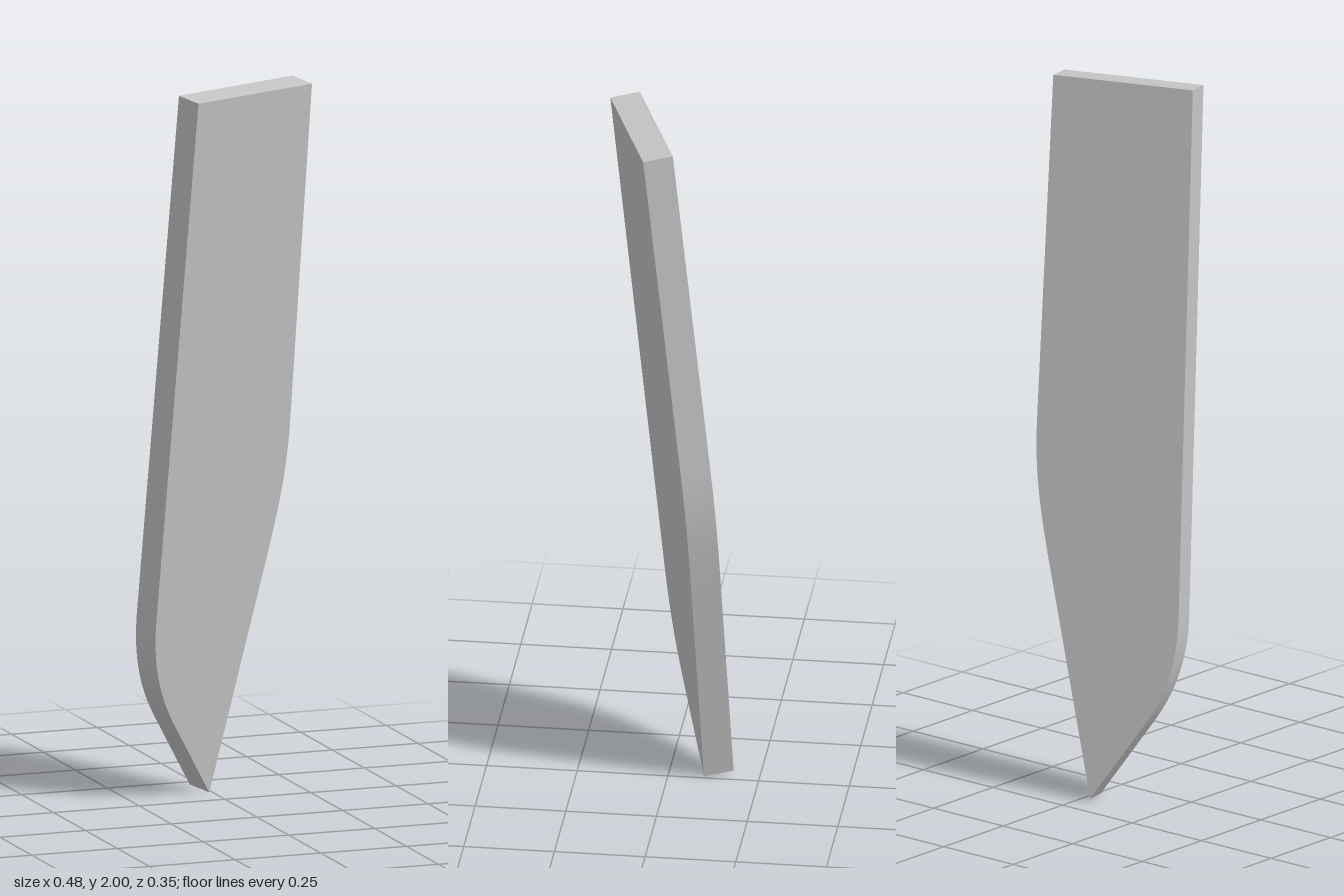
import * as THREE from 'three';
import { toCreasedNormals } from 'three/addons/utils/BufferGeometryUtils.js';

export function createModel() {
  const group = new THREE.Group();
  group.name = 'bladePlate';
  const steel = new THREE.MeshStandardMaterial({ color: 0xc5c5c5 });
  steel.name = 'steelGrey';

  // Outline of the front face: square top, rounded shoulder and belly, sharp tip
  const outline = new THREE.Shape();
  outline.moveTo(-0.143, 1.992);
  outline.lineTo(-0.213, 0.52);
  outline.bezierCurveTo(-0.218, 0.38, -0.185, 0.29, -0.131, 0.203);
  outline.lineTo(-0.009, 0.001);
  outline.lineTo(0.118, 0.51);
  outline.bezierCurveTo(0.178, 0.75, 0.21, 0.86, 0.214, 1.05);
  outline.lineTo(0.24, 1.992);

  const flat = new THREE.ExtrudeGeometry(outline, { depth: 1, bevelEnabled: false, curveSegments: 20 });

  // Lay the outline on the leaning, turned plane and give it its thickness
  const back = new THREE.Vector3(-0.028, 0.009, -0.078);
  const lean = new THREE.Matrix4().makeBasis(
    new THREE.Vector3(1, 0, -0.3626),
    new THREE.Vector3(0, 1, 0.1139),
    back.clone().negate()
  );
  lean.setPosition(back.x, back.y, back.z - 0.102);
  flat.applyMatrix4(lean);

  const blade = new THREE.Mesh(toCreasedNormals(flat, 0.35), steel);
  blade.name = 'blade';
  group.add(blade);
  return group;
}
